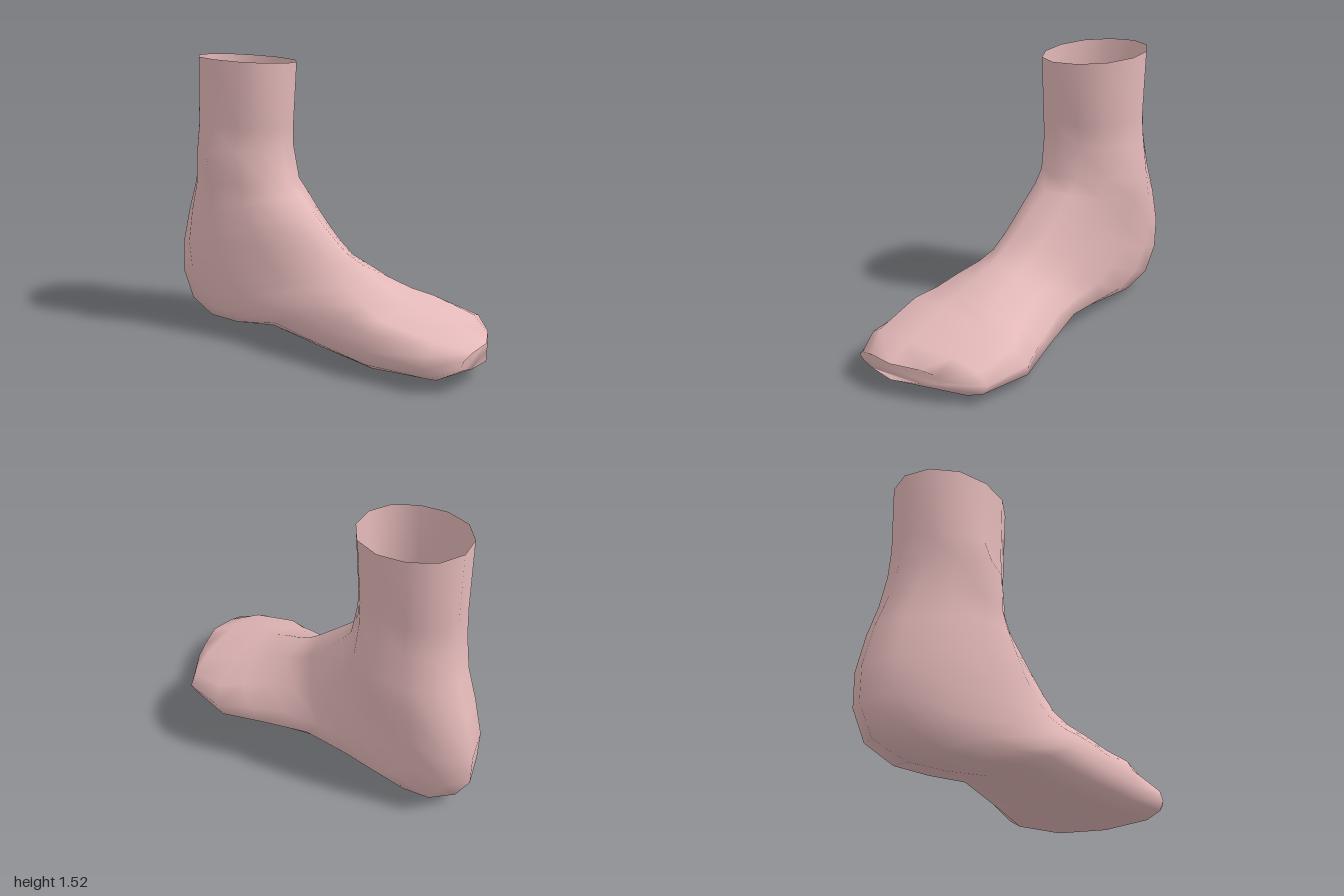
import * as THREE from 'three';

const SIDES = 12;

// Rings from the open leg end, turning round the heel, to the toes:
// [front/top z, y,  back/bottom z, y,  min x, max x,  extras]
// extras: top/sole = roundness of each half (1 = ellipse, less = squarer),
// sag = widest point toward the sole, front/back = sideways shift of each half,
// outer/inner = ankle bone bulges, slant = toe line swept back on the small-toe side
const rings = [
  [-0.21, 1.48, -0.82, 1.52, -0.325, 0.20, { front: -0.035, back: 0.02 }],
  [-0.23, 1.14, -0.82, 1.14, -0.33, 0.185, { front: -0.03, back: 0.02 }],
  [-0.235, 1.03, -0.83, 0.98, -0.335, 0.195, { front: -0.03, back: 0.02, outer: 0.05 }],
  [-0.20, 0.85, -0.87, 0.80, -0.335, 0.20, { front: -0.02, back: 0.03, outer: 0.005, inner: 0.03 }],
  [-0.13, 0.78, -0.94, 0.62, -0.345, 0.195, { back: 0.04, inner: 0.03 }],
  [-0.04, 0.70, -1.00, 0.40, -0.355, 0.19, { back: 0.045, sole: 0.95 }],
  [0.05, 0.62, -1.00, 0.22, -0.355, 0.185, { back: 0.045, sole: 0.9 }],
  [0.12, 0.56, -0.92, 0.07, -0.355, 0.185, { back: 0.04, sole: 0.85 }],
  [0.20, 0.50, -0.73, 0.01, -0.355, 0.185, { back: 0.02, sole: 0.75, sag: 0.05 }], // heel pad
  [0.29, 0.46, -0.50, 0.02, -0.355, 0.19, { sole: 0.7, top: 0.95, sag: 0.08 }],
  [0.40, 0.40, -0.20, 0.07, -0.375, 0.235, { sole: 0.65, top: 0.85, sag: 0.1, front: -0.04 }], // arch
  [0.50, 0.35, 0.13, 0.03, -0.385, 0.315, { sole: 0.55, top: 0.75, sag: 0.12, front: -0.08 }],
  [0.60, 0.315, 0.50, 0.00, -0.40, 0.40, { sole: 0.42, top: 0.62, sag: 0.15, front: -0.11, slant: 0.15 }], // ball
  [0.86, 0.24, 0.86, 0.02, -0.385, 0.38, { sole: 0.5, top: 0.62, sag: 0.1, front: -0.06, slant: 0.3 }],
  [1.00, 0.18, 1.00, 0.09, -0.29, 0.21, { sole: 0.8, top: 0.8, slant: 0.5 }], // toe tip
];

function ringPoint([az, ay, bz, by, x0, x1, extras], j) {
  const { top = 1, sole = 1, sag = 0, front = 0, back = 0, outer = 0, inner = 0, slant = 0 } = extras;
  const a = (j / SIDES) * Math.PI * 2;
  const c = Math.cos(a), s = Math.sin(a);
  const u = c - sag * (1 - c * c);
  const w = Math.sign(s) * Math.pow(Math.abs(s), c < 0 ? sole : top);
  const bulge = (s > 0 ? inner : -outer) * Math.pow(s, 12);
  const x = (x0 + x1) / 2 + ((x1 - x0) / 2) * w + (c > 0 ? front : back) * c * c + bulge;
  const z = (az + bz) / 2 + ((az - bz) / 2) * u - slant * Math.max(0, x + 0.05);
  const y = (ay + by) / 2 + ((ay - by) / 2) * u;
  return [x, y, z];
}

function footGeometry() {
  const pos = [], index = [];
  rings.forEach((ring) => {
    for (let j = 0; j < SIDES; j++) pos.push(...ringPoint(ring, j));
  });
  // skin between neighbouring rings
  for (let i = 0; i < rings.length - 1; i++) {
    for (let j = 0; j < SIDES; j++) {
      const k = (j + 1) % SIDES;
      const a = i * SIDES + j, b = a + SIDES;
      const c = (i + 1) * SIDES + k, d = i * SIDES + k;
      index.push(a, b, c, a, c, d);
    }
  }
  // close the toe end in strips across the tip
  const last = (rings.length - 1) * SIDES;
  for (let j = 0; j < SIDES / 2; j++) {
    const l = last + ((SIDES - j) % SIDES), l2 = last + SIDES - j - 1;
    const r = last + j, r2 = last + j + 1;
    if (j > 0) index.push(l, l2, r);
    if (l2 !== r2) index.push(l2, r2, r);
  }
  const g = new THREE.BufferGeometry();
  g.setAttribute('position', new THREE.Float32BufferAttribute(pos, 3));
  g.setIndex(index);
  g.computeVertexNormals();
  return g;
}

export function createModel() {
  const group = new THREE.Group();
  group.name = 'foot';
  const skin = new THREE.MeshStandardMaterial({ color: 0xe3b8b8, side: THREE.DoubleSide });
  const foot = new THREE.Mesh(footGeometry(), skin);
  foot.name = 'footAndAnkle';
  group.add(foot);
  return group;
}
